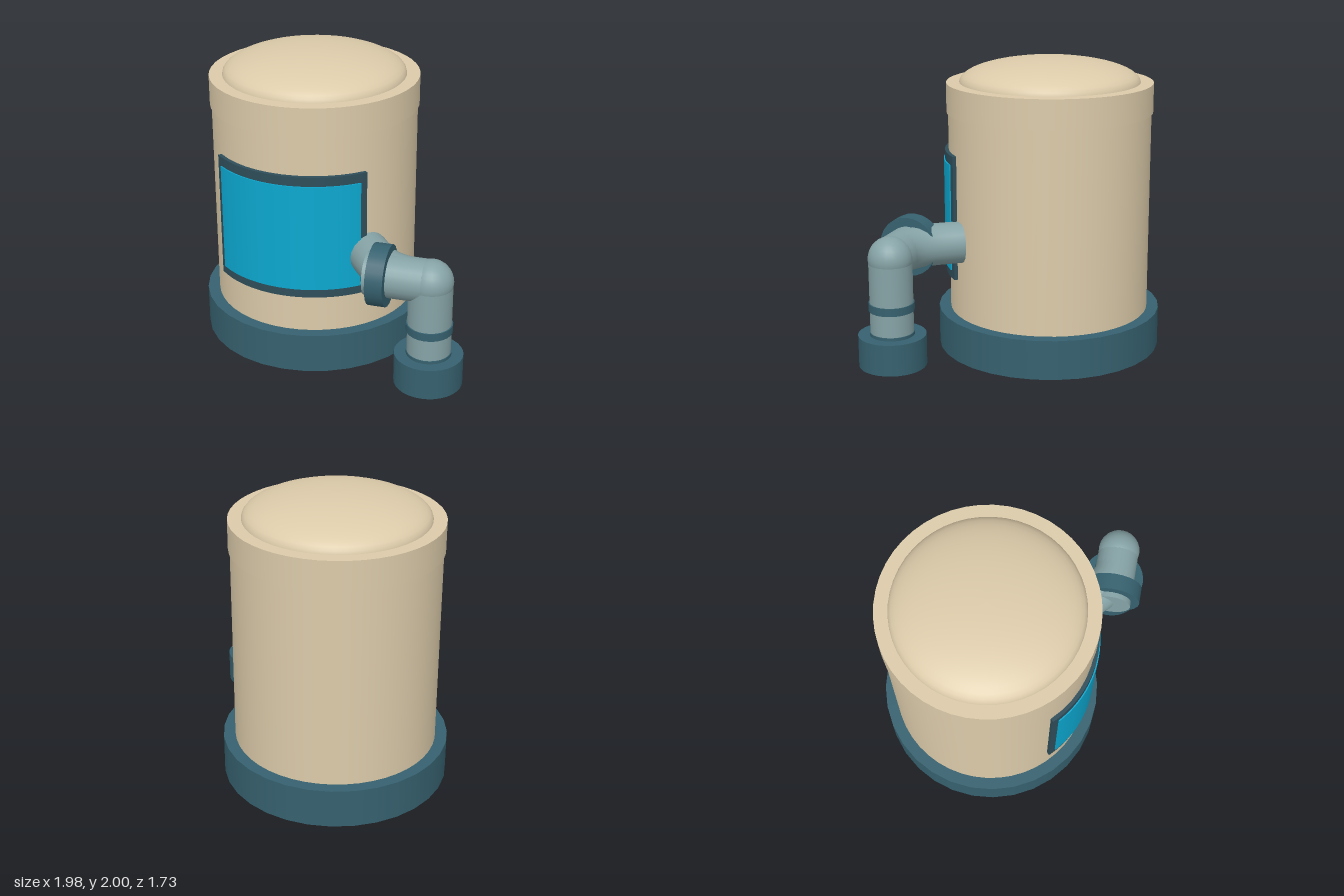
import * as THREE from 'three';

const mat = (name, color) => {
  const m = new THREE.MeshStandardMaterial({ color });
  m.name = name;
  return m;
};

export function createModel() {
  const cream = mat('cream', 0xdccbaa);
  const teal = mat('darkTeal', 0x36616f);
  const frameTeal = mat('frameTeal', 0x2f4e5a);
  const blue = mat('brightBlue', 0x0ca8d0);
  const pipeGrey = mat('pipeGrey', 0x86a3a6);

  const model = new THREE.Group();
  model.name = 'tankWithPipe';
  const add = (parent, name, geometry, material, x = 0, y = 0, z = 0) => {
    const mesh = new THREE.Mesh(geometry, material);
    mesh.name = name;
    mesh.position.set(x, y, z);
    parent.add(mesh);
    return mesh;
  };
  // upright cylinder between two heights
  const drum = (parent, name, r, y0, y1, material, x = 0, z = 0, sides = 32) =>
    add(parent, name, new THREE.CylinderGeometry(r, r, y1 - y0, sides), material, x, (y0 + y1) / 2, z);

  // Tank
  const tank = new THREE.Group();
  tank.name = 'tank';
  tank.position.set(-0.22, 0, -0.1);
  model.add(tank);
  drum(tank, 'base', 0.768, 0, 0.27, teal);
  drum(tank, 'body', 0.687, 0.26, 1.65, cream, 0, 0, 48);
  drum(tank, 'lidRim', 0.698, 1.64, 1.84, cream, 0, 0, 48);
  const dome = [];
  for (let i = 0; i <= 12; i++) {
    const a = (i / 12) * Math.PI / 2;
    dome.push(new THREE.Vector2(i === 12 ? 0 : 0.61 * Math.cos(a), 1.84 + 0.16 * Math.sin(a)));
  }
  add(tank, 'lidDome', new THREE.LatheGeometry(dome, 48), cream);

  // Curved window wrapped round the front of the tank
  const curvedPlate = (name, r0, r1, halfAngle, y0, y1, material) => {
    const s = new THREE.Shape();
    s.absarc(0, 0, r1, -Math.PI / 2 - halfAngle, -Math.PI / 2 + halfAngle, false);
    s.absarc(0, 0, r0, -Math.PI / 2 + halfAngle, -Math.PI / 2 - halfAngle, true);
    const g = new THREE.ExtrudeGeometry(s, { depth: y1 - y0, bevelEnabled: false, curveSegments: 20 });
    g.rotateX(-Math.PI / 2);
    add(tank, name, g, material, 0, y0, 0);
  };
  curvedPlate('windowFrame', 0.675, 0.712, Math.PI / 4, 0.53, 1.385, frameTeal);
  curvedPlate('windowPane', 0.711, 0.72, 0.72, 0.59, 1.322, blue);

  // Outlet pipe
  const pipe = new THREE.Group();
  pipe.name = 'outletPipe';
  model.add(pipe);
  const px = 0.765, py = 0.803, pz = 0.643, pr = 0.142;
  const bend = new THREE.CubicBezierCurve3(
    new THREE.Vector3(0.275, py, 0.355),
    new THREE.Vector3(0.36, py, 0.47),
    new THREE.Vector3(0.45, py, 0.63),
    new THREE.Vector3(0.64, py, pz));
  add(pipe, 'pipeBend', new THREE.TubeGeometry(bend, 16, 0.14, 20), pipeGrey);
  // cylinder lying along x
  const sideDrum = (name, r, x0, x1, material) => {
    const g = new THREE.CylinderGeometry(r, r, x1 - x0, 24).rotateZ(Math.PI / 2);
    add(pipe, name, g, material, (x0 + x1) / 2, py, pz);
  };
  sideDrum('horizontalPipe', 0.14, 0.35, px, pipeGrey);
  sideDrum('flange', 0.2, 0.386, 0.5, teal);
  add(pipe, 'elbow', new THREE.SphereGeometry(0.145, 24, 16), pipeGrey, px, py, pz);
  drum(pipe, 'verticalPipe', pr, 0.28, py, pipeGrey, px, pz, 24);
  drum(pipe, 'pipeRing', 0.15, 0.457, 0.51, teal, px, pz, 24);
  drum(pipe, 'footCollar', 0.147, 0.28, 0.31, teal, px, pz, 24);
  drum(pipe, 'pipeFoot', 0.223, 0.08, 0.29, teal, px, pz, 32);

  return model;
}
